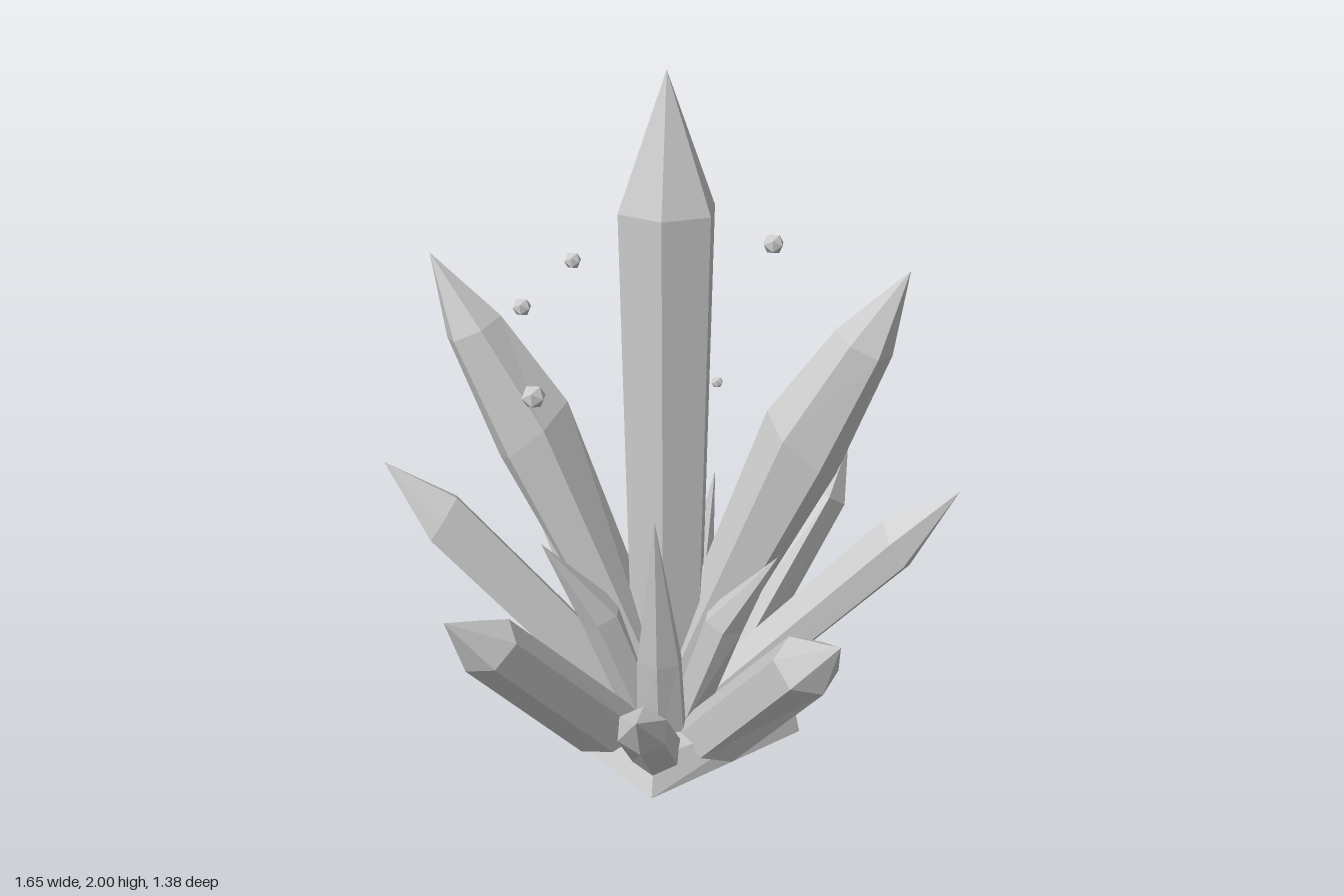
import * as THREE from 'three';

const crystalGrey = new THREE.MeshStandardMaterial({ color: 0xcccccc, flatShading: true });
crystalGrey.name = 'crystal grey';

// Six-sided crystal leaning along +x. Each ring is
// [inner x, inner y, outer x, outer y, half width]; the sides close at the tip.
function crystalGeometry(rings, tip) {
  const loops = rings.map(([ax, ay, bx, by, w]) =>
    Array.from({ length: 6 }, (_, k) => {
      const angle = k * Math.PI / 3;
      const t = (1 + Math.cos(angle)) / 2;
      return [ax + (bx - ax) * t, ay + (by - ay) * t, Math.sin(angle) * w / 0.866];
    }));
  const top = [tip[0], tip[1], 0];
  const last = loops[loops.length - 1];
  const points = [];
  for (let i = 0; i < 6; i++) {
    const j = (i + 1) % 6;
    for (let k = 0; k < loops.length - 1; k++) {
      const lo = loops[k], up = loops[k + 1];
      points.push(lo[j], lo[i], up[i], lo[j], up[i], up[j]);
    }
    points.push(last[j], last[i], top);
  }
  // Closed foot
  for (let i = 1; i < 5; i++) points.push(loops[0][0], loops[0][i], loops[0][i + 1]);
  const geometry = new THREE.BufferGeometry();
  geometry.setAttribute('position', new THREE.Float32BufferAttribute(points.flat(), 3));
  geometry.computeVertexNormals();
  return geometry;
}

// Kinds of crystal, with the compass angles (from +x towards +z) they lean to
const CRYSTALS = [
  { name: 'mainCrystal', angles: [90], tip: [0, 2],
    rings: [[-0.09, 0.05, 0.09, 0.05, 0.095], [-0.117, 1.63, 0.117, 1.63, 0.123]] },
  { name: 'tallSideCrystal', angles: [0, 180], tip: [0.65, 1.485],
    rings: [[-0.06, 0.08, 0.06, 0.05, 0.09], [0.28, 1.06, 0.48, 0.88, 0.108],
      [0.46, 1.31, 0.615, 1.24, 0.08]] },
  { name: 'lowSideCrystal', angles: [0, 180], tip: [0.825, 0.84],
    rings: [[0.02, 0.09, 0.19, 0.07, 0.075], [0.615, 0.735, 0.7, 0.597, 0.08]] },
  { name: 'diagonalCrystal', angles: [49.6, 130.4, 229.6, 310.4], tip: [0.79, 0.685],
    rings: [[0.1, 0.08, 0.34, 0.06, 0.07], [0.58, 0.61, 0.73, 0.51, 0.08]] },
  { name: 'lowCrystal', angles: [90, 270], tip: [0.69, 0.475],
    rings: [[0.14, 0.08, 0.35, 0.06, 0.065], [0.53, 0.42, 0.61, 0.32, 0.063]] },
  { name: 'uprightShard', angles: [90, 270], tip: [0.29, 0.85],
    rings: [[0.08, 0.07, 0.2, 0.07, 0.07], [0.13, 0.35, 0.245, 0.35, 0.06]] },
  { name: 'smallShard', angles: [31, 149, 211, 329], tip: [0.386, 0.71],
    rings: [[0.02, 0.08, 0.14, 0.07, 0.06], [0.15, 0.46, 0.27, 0.42, 0.05]] },
  { name: 'backShard', angles: [304], tip: [0.22, 0.78],
    rings: [[0.04, 0.08, 0.14, 0.07, 0.05], [0.1, 0.45, 0.19, 0.44, 0.04]] },
];

// Floating fragments: x, y, z, radius
const FRAGMENTS = [
  [0.275, 1.475, -0.21, 0.031], [-0.36, 1.41, 0.19, 0.026], [-0.3, 1.39, -0.25, 0.026],
  [-0.34, 1.15, 0.18, 0.035], [0.06, 1.15, -0.19, 0.021], [0.125, 1.06, -0.185, 0.018],
];

export function createModel() {
  const model = new THREE.Group();
  model.name = 'crystalCluster';

  function add(name, geometry) {
    const mesh = new THREE.Mesh(geometry, crystalGrey);
    mesh.name = name;
    model.add(mesh);
    return mesh;
  }

  // Diamond-shaped base slab with sloping sides
  const slab = new THREE.CylinderGeometry(0.385, 0.405, 0.095, 4);
  const corners = slab.attributes.position;
  for (let i = 0; i < corners.count; i++) {
    corners.setZ(i, corners.getZ(i) * (corners.getY(i) > 0 ? 0.82 : 0.93));
  }
  slab.computeVertexNormals();
  add('baseSlab', slab).position.y = 0.0475;

  for (const { name, angles, rings, tip } of CRYSTALS) {
    const geometry = crystalGeometry(rings, tip);
    for (const angle of angles) {
      add(name, geometry).rotation.y = -THREE.MathUtils.degToRad(angle);
    }
  }

  for (const [x, y, z, radius] of FRAGMENTS) {
    add('fragment', new THREE.IcosahedronGeometry(radius, 0)).position.set(x, y, z);
  }

  return model;
}
